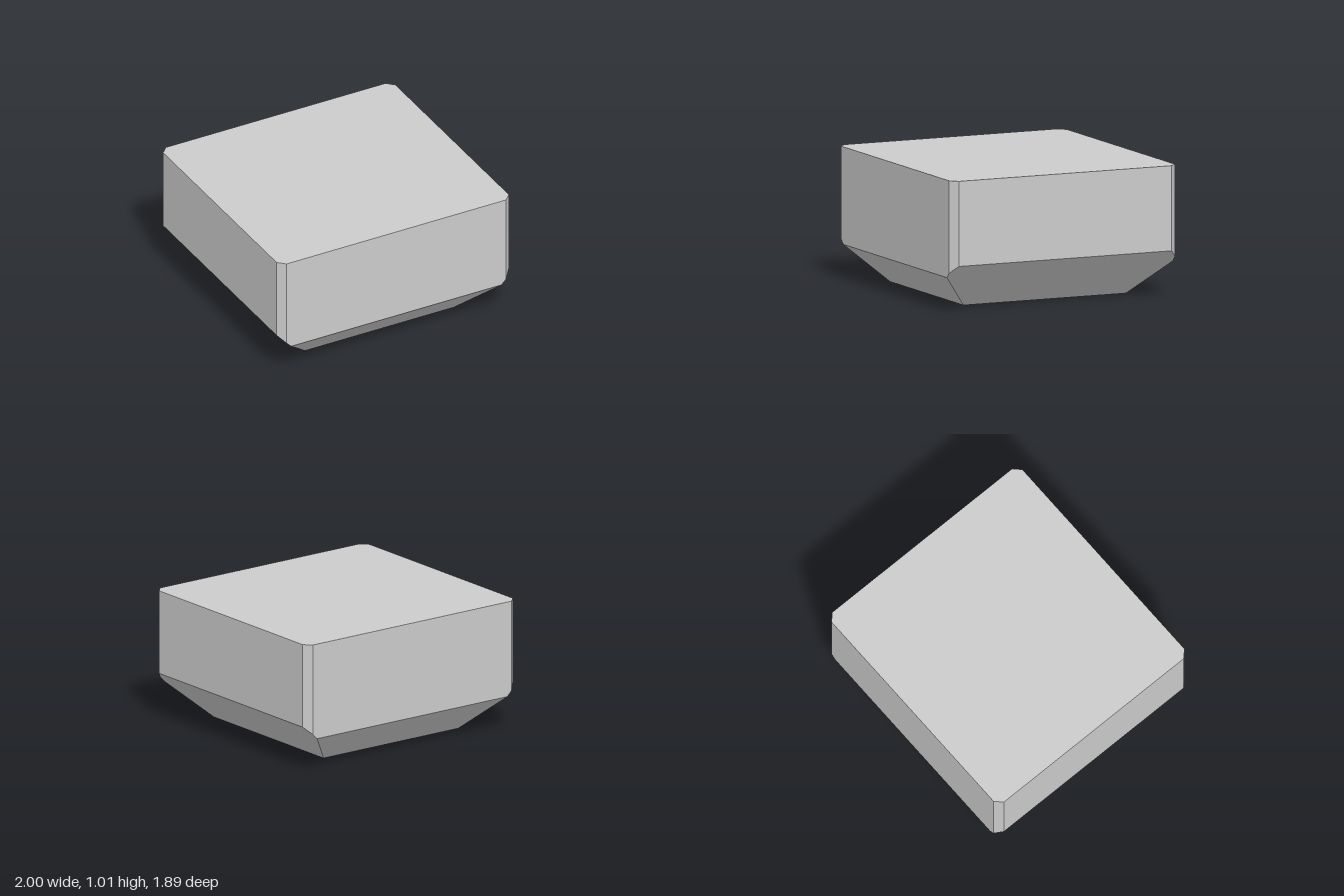
import * as THREE from 'three';
import { ConvexGeometry } from 'three/addons/geometries/ConvexGeometry.js';

export function createModel() {
  const group = new THREE.Group();
  group.name = 'chamferedBlock';

  // Corner points of one quadrant, mirrored to all four
  const quadrant = [
    [0.64, 0, 0.68],        // foot corner
    [0.905, 0.265, 0.945],  // end of the sloped ridge
    [0.945, 0.305, 0.945],  // lower ends of the corner chamfer
    [1, 0.36, 0.89],
    [1, 1.01, 0.89],        // upper ends of the corner chamfer
    [0.945, 1.01, 0.945],
  ];
  const points = [];
  for (const sx of [-1, 1]) {
    for (const sz of [-1, 1]) {
      for (const [x, y, z] of quadrant) points.push(new THREE.Vector3(sx * x, y, sz * z));
    }
  }

  // Flat-faced solid body with tapered underside
  const body = new THREE.Mesh(
    new ConvexGeometry(points),
    new THREE.MeshStandardMaterial({ color: 0xcccccc, flatShading: true })
  );
  body.name = 'body';
  group.add(body);
  return group;
}
